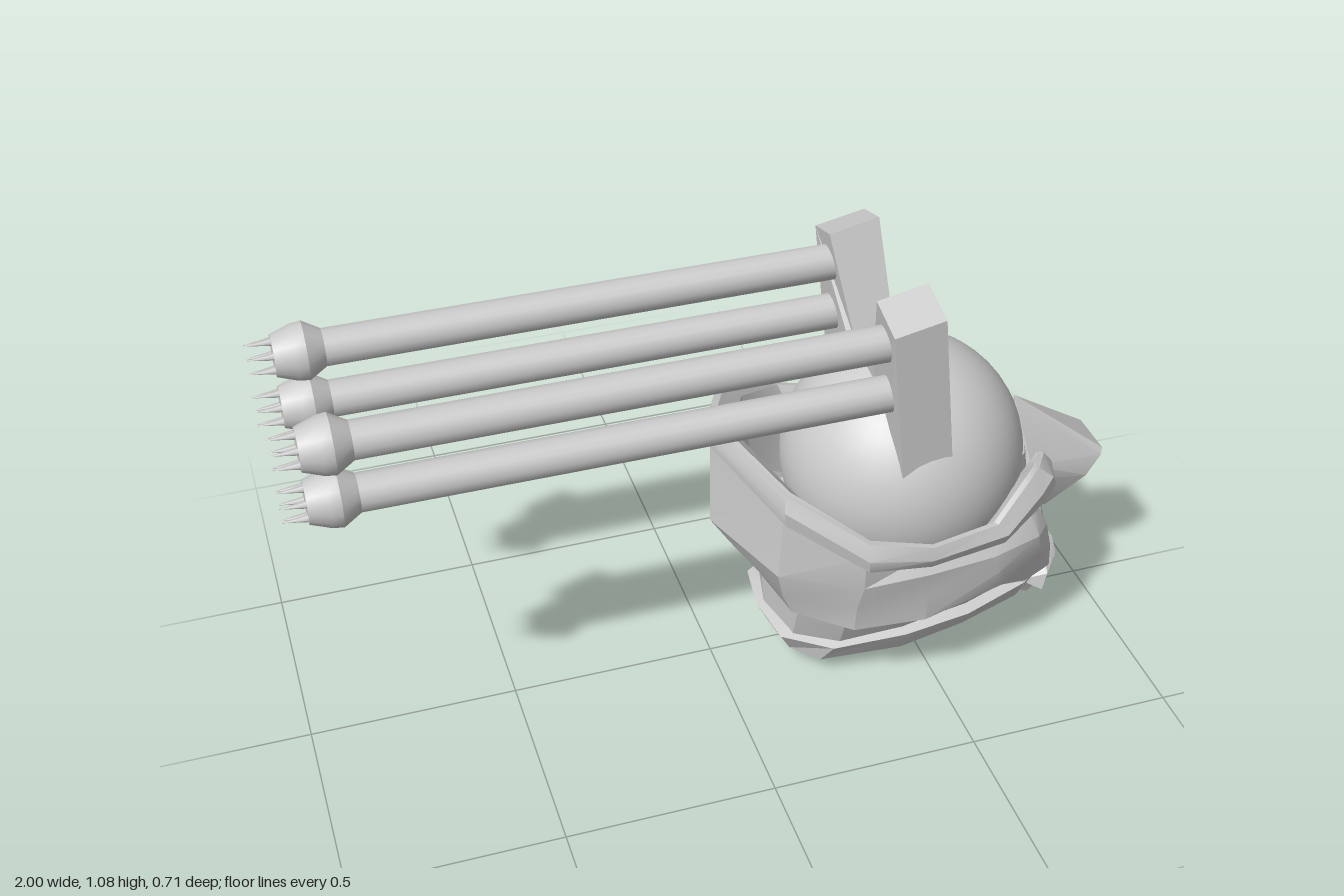
import * as THREE from 'three';
import { toCreasedNormals } from 'three/addons/utils/BufferGeometryUtils.js';
import { ConvexGeometry } from 'three/addons/geometries/ConvexGeometry.js';

const solid = new THREE.MeshStandardMaterial({ color: 0xcccccc });
const open = new THREE.MeshStandardMaterial({ color: 0xcccccc, side: THREE.DoubleSide });

function add(parent, name, geometry, material = solid) {
  const mesh = new THREE.Mesh(geometry, material);
  mesh.name = name;
  parent.add(mesh);
  return mesh;
}

// Skin between rows of [x, y, z]; each row is half a section, mirrored across z = 0
function loft(rows, crease = 0.55) {
  const full = rows.map(r => [...r.slice(1).reverse().map(([x, y, z]) => [x, y, -z]), ...r]);
  const n = full[0].length, index = [];
  for (let i = 0; i < full.length - 1; i++) {
    for (let j = 0; j < n - 1; j++) {
      const a = i * n + j, b = a + n;
      index.push(a, b, a + 1, a + 1, b, b + 1);
    }
  }
  const g = new THREE.BufferGeometry();
  g.setAttribute('position', new THREE.Float32BufferAttribute(full.flat(2), 3));
  g.setIndex(index);
  return toCreasedNormals(g, crease);
}

// Convex solid from half of its corners
function gem(points) {
  const all = points.flatMap(([x, y, z]) => (z ? [z, -z] : [0]).map(s => new THREE.Vector3(x, y, s)));
  return toCreasedNormals(new ConvexGeometry(all), 0.4);
}

// Scale a row towards the middle of the head and shift it vertically
const inset = (row, k, dy) => row.map(([x, y, z]) => [0.45 + (x - 0.45) * k, y + dy, z * k]);

function helmet() {
  const g = new THREE.Group();
  g.name = 'helmet';

  const dome = add(g, 'dome', new THREE.SphereGeometry(0.292, 48, 32));
  dome.position.set(0.48, 0.528, 0);

  // Thick rim: high at the nape, low at the sides, arched over the eyes
  const top = [[-0.01, 0.72, 0], [0.1, 0.65, 0.24], [0.27, 0.54, 0.335], [0.43, 0.495, 0.34], [0.61, 0.485, 0.295],
    [0.7, 0.545, 0.245], [0.75, 0.55, 0.2], [0.83, 0.48, 0.07], [0.84, 0.47, 0]];
  const low = [[-0.015, 0.66, 0], [0.1, 0.57, 0.25], [0.27, 0.47, 0.35], [0.43, 0.435, 0.335], [0.63, 0.43, 0.3],
    [0.76, 0.475, 0.235], [0.8, 0.49, 0.2], [0.85, 0.43, 0.07], [0.86, 0.42, 0]];
  const bulge = low.map(([x, y, z], i) => {
    const t = top[i];
    return [(x + t[0]) / 2 + (x > 0.5 ? 0.012 : -0.005), (y + t[1]) / 2, (z + t[2]) / 2 * 1.04];
  });
  add(g, 'rim', loft([inset(top, 0.8, -0.25), inset(top, 0.87, -0.04), inset(top, 0.96, 0), top, bulge, low,
    inset(low, 0.88, 0.01)]), open);

  // Side shell, flaring at mid height and tucking into the neck recess
  add(g, 'sideShell', loft([
    [[0.0, 0.67, 0], [0.1, 0.59, 0.235], [0.27, 0.49, 0.325], [0.43, 0.45, 0.305], [0.6, 0.45, 0.265], [0.72, 0.46, 0.22], [0.75, 0.46, 0.19]],
    [[0.0, 0.42, 0], [0.09, 0.41, 0.235], [0.27, 0.4, 0.325], [0.43, 0.41, 0.335], [0.6, 0.4, 0.31], [0.74, 0.39, 0.26], [0.79, 0.37, 0.2]],
    [[0.05, 0.34, 0], [0.11, 0.33, 0.215], [0.26, 0.33, 0.31], [0.43, 0.34, 0.325], [0.62, 0.35, 0.31], [0.76, 0.32, 0.24], [0.83, 0.26, 0.16]],
    [[0.1, 0.27, 0], [0.14, 0.26, 0.2], [0.26, 0.255, 0.3], [0.43, 0.265, 0.325], [0.64, 0.29, 0.29], [0.74, 0.22, 0.22], [0.85, 0.17, 0.13]],
    [[0.13, 0.26, 0], [0.17, 0.25, 0.17], [0.27, 0.25, 0.24], [0.43, 0.26, 0.255], [0.6, 0.28, 0.23], [0.71, 0.23, 0.18], [0.8, 0.17, 0.11]],
    [[0.14, 0.12, 0], [0.17, 0.12, 0.13], [0.27, 0.12, 0.19], [0.43, 0.13, 0.2], [0.6, 0.14, 0.18], [0.73, 0.14, 0.14], [0.8, 0.14, 0.09]],
  ], 0.35), open);

  // Neck collar with a closed underside
  const collar = [[0.12, 0.125, 0], [0.14, 0.12, 0.13], [0.25, 0.115, 0.205], [0.43, 0.13, 0.225], [0.6, 0.14, 0.21],
    [0.77, 0.155, 0.16], [0.83, 0.14, 0.11], [0.84, 0.14, 0]];
  const sole = [[0.15, 0.065, 0], [0.17, 0.06, 0.11], [0.23, 0.055, 0.17], [0.43, 0.07, 0.2], [0.6, 0.085, 0.18],
    [0.76, 0.1, 0.14], [0.81, 0.105, 0.08], [0.82, 0.105, 0]];
  add(g, 'neckCollar', loft([inset(collar, 0.85, 0.015), collar, sole, sole.map(() => [0.48, 0.08, 0])], 0.35), open);

  // Face mask, bottom row to top row, with the eye recess above
  add(g, 'faceMask', loft([
    [[0.82, 0.1, 0], [0.82, 0.1, 0.07], [0.8, 0.11, 0.12], [0.77, 0.12, 0.15]],
    [[0.85, 0.19, 0], [0.85, 0.19, 0.045], [0.82, 0.18, 0.1], [0.78, 0.18, 0.16]],
    [[0.87, 0.23, 0], [0.86, 0.23, 0.065], [0.83, 0.23, 0.13], [0.8, 0.22, 0.15]],
    [[0.84, 0.3, 0], [0.84, 0.31, 0.06], [0.82, 0.31, 0.14], [0.79, 0.3, 0.18]],
    [[0.82, 0.4, 0], [0.82, 0.4, 0.07], [0.8, 0.4, 0.13], [0.77, 0.41, 0.2]],
    [[0.8, 0.41, 0], [0.79, 0.41, 0.07], [0.76, 0.41, 0.13], [0.73, 0.42, 0.2]],
    [[0.8, 0.5, 0], [0.78, 0.5, 0.07], [0.73, 0.52, 0.13], [0.69, 0.52, 0.2]],
  ]), open);

  // Pointed crest on the brow
  add(g, 'browCrest', gem([[0.77, 0.62, 0], [0.995, 0.455, 0.06], [0.99, 0.44, 0.068], [0.955, 0.385, 0.07], [0.89, 0.255, 0],
    [0.8, 0.45, 0.07], [0.78, 0.4, 0.06], [0.8, 0.29, 0]]));

  // Chin guard: side lugs and a drooping point
  const chin = new THREE.Group();
  chin.name = 'chinGuard';
  g.add(chin);
  add(chin, 'chinBlock', gem([[0.86, 0.195, 0.04], [0.9, 0.18, 0.04], [0.9, 0.15, 0.07], [0.88, 0.09, 0.05],
    [0.82, 0.15, 0.07], [0.82, 0.08, 0.06], [0.85, 0.14, 0.13], [0.84, 0.09, 0.13], [0.79, 0.11, 0.1]]));
  add(chin, 'chinPoint', gem([[0.9, 0.14, 0.06], [0.88, 0.08, 0.07], [0.85, 0.005, 0.035], [0.79, 0.03, 0.035],
    [0.82, 0.08, 0.065], [0.83, 0.13, 0.06]]));
  return g;
}

// Two upright arms joined by a bridge over the dome
function bracket() {
  const half = [[0.06, 0.835], [0.148, 1.075], [0.25, 1.04], [0.25, 0.58], [0.15, 0.58]];
  const outline = [...half, ...half.map(([z, y]) => [-z, y]).reverse()];
  const shape = new THREE.Shape(outline.map(p => new THREE.Vector2(...p)));
  const geo = new THREE.ExtrudeGeometry(shape, { depth: 0.12, bevelEnabled: false });
  geo.translate(0, 0, -0.06).rotateY(Math.PI / 2);
  const p = geo.attributes.position;
  for (let i = 0; i < p.count; i++) {
    const x = p.getX(i) * (Math.abs(p.getZ(i)) < 0.1 ? 0.8 : 1), y = p.getY(i);
    // Lean the arms backwards
    p.setXY(i, x + 0.393 + (1.07 - y) * 0.11, y + x * 0.2);
  }
  geo.computeVertexNormals();
  return geo;
}

// Long rod with a swollen head and a ring of prongs
function rod() {
  const g = new THREE.Group();
  g.name = 'rod';
  const profile = [[0, 0], [0.043, 0], [0.043, 1.21], [0.067, 1.25], [0.064, 1.275], [0.048, 1.32], [0, 1.32]];
  const shaft = new THREE.LatheGeometry(profile.map(q => new THREE.Vector2(...q)), 16);
  add(g, 'rodShaft', toCreasedNormals(shaft.rotateZ(Math.PI / 2), 0.5));
  for (let i = 0; i < 6; i++) {
    const a = i / 6 * Math.PI * 2;
    const prong = add(g, 'prong', new THREE.ConeGeometry(0.011, 0.075, 6).rotateZ(Math.PI / 2));
    prong.position.set(-1.3425, Math.cos(a) * 0.036, Math.sin(a) * 0.036);
  }
  return g;
}

export function createModel() {
  const model = new THREE.Group();
  model.name = 'helmetWithRods';
  model.add(helmet());
  add(model, 'rodBracket', bracket());
  for (const z of [-0.178, 0.178]) {
    for (const y of [0.97, 0.833]) {
      const r = rod();
      r.position.set(0.38, y, z);
      model.add(r);
    }
  }
  return model;
}
